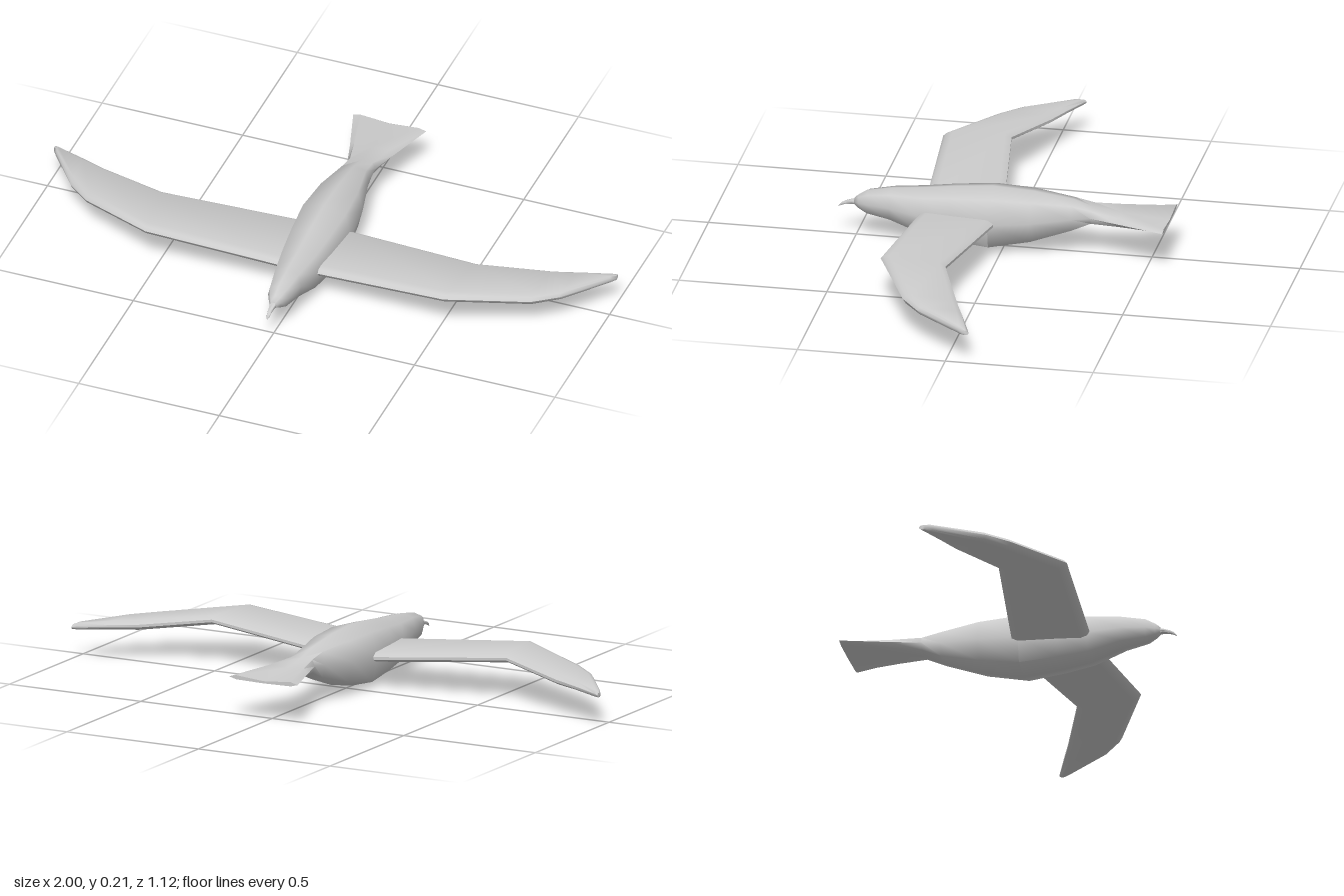
import * as THREE from 'three';
import { toCreasedNormals } from 'three/addons/utils/BufferGeometryUtils.js';

const material = new THREE.MeshStandardMaterial({ color: 0xcccccc });

// Skin a list of equal-length rings (counter-clockwise seen from the first ring) and cap both ends.
function loft(name, rings, crease) {
  const n = rings[0].length, pos = rings.flat(2), index = [];
  for (let i = 0; i < rings.length - 1; i++) {
    for (let j = 0; j < n; j++) {
      const a = i * n + j, b = i * n + (j + 1) % n;
      index.push(a, a + n, b, b, a + n, b + n);
    }
  }
  [0, rings.length - 1].forEach((r) => {
    const centre = pos.length / 3;
    for (let k = 0; k < 3; k++) pos.push(rings[r].reduce((s, p) => s + p[k], 0) / n);
    for (let j = 0; j < n; j++) {
      const a = r * n + j, b = r * n + (j + 1) % n;
      index.push(centre, ...(r === 0 ? [a, b] : [b, a]));
    }
  });
  const geometry = new THREE.BufferGeometry();
  geometry.setAttribute('position', new THREE.Float32BufferAttribute(pos, 3));
  geometry.setIndex(index);
  const mesh = new THREE.Mesh(toCreasedNormals(geometry, crease), material);
  mesh.name = name;
  return mesh;
}

// Boxy eight-sided cross-section across z; dip lowers the top centre.
function bodyRing([z, bottom, top, halfWidth, dip = 0]) {
  const outline = [[1, 0], [0.8, 0.8], [0, 1], [-0.8, 0.8], [-1, 0], [-0.8, -0.8], [0, -1], [0.8, -0.8]];
  const mid = (bottom + top) / 2, half = (top - bottom) / 2;
  return outline.map(([u, v]) => [u * halfWidth, mid + v * half - (v === 1 ? dip : 0), z]);
}

// Flat wing cross-section with rounded leading and trailing edges.
function wingRing([xLead, zLead, xTrail, zTrail, y, thickness], side) {
  const chord = zLead - zTrail, half = thickness / 2;
  const front = Math.min(0.03, chord * 0.3) / chord, back = Math.min(0.02, chord * 0.25) / chord;
  const outline = [
    [0, 0.15], [front * 0.35, 0.75], [front, 1], [1 - back, 0.9], [1, 0.2],
    [1, -0.3], [1 - back, -0.9], [front, -1], [front * 0.3, -0.6],
  ];
  const ring = outline.map(([t, v]) => [
    side * (xLead + (xTrail - xLead) * t), y + v * half, zLead - chord * t,
  ]);
  return side > 0 ? ring : ring.reverse();
}

export function createModel() {
  const model = new THREE.Group();
  model.name = 'bird';

  // Head, body and fanned tail: z, bottom, top, half width, dip
  const bodySections = [
    [0.505, 0.112, 0.135, 0.012],
    [0.49, 0.1, 0.148, 0.022],
    [0.46, 0.085, 0.165, 0.036],
    [0.38, 0.071, 0.18, 0.052],
    [0.27, 0.032, 0.19, 0.072],
    [0.17, 0.016, 0.203, 0.084],
    [0.04, 0.003, 0.215, 0.095],
    [-0.1, 0.034, 0.208, 0.083],
    [-0.235, 0.082, 0.19, 0.052],
    [-0.3, 0.117, 0.172, 0.05, 0.003],
    [-0.4, 0.125, 0.163, 0.079, 0.008],
    [-0.56, 0.135, 0.153, 0.13, 0.012],
  ];
  model.add(loft('bodyAndTail', bodySections.map(bodyRing), 1.1));

  // Down-curved beak
  const beakSections = [
    [0.49, 0.11, 0.134, 0.012],
    [0.515, 0.112, 0.128, 0.01],
    [0.535, 0.11, 0.121, 0.008],
    [0.55, 0.104, 0.113, 0.006],
    [0.56, 0.099, 0.102, 0.002],
  ].reverse();
  model.add(loft('beak', beakSections.map(bodyRing), 1.1));

  // Wings: leading x, z; trailing x, z; height; thickness
  const wingSections = [
    [0.01, 0.277, 0.01, 0.01, 0.106, 0.036],
    [0.08, 0.28, 0.1, 0.02, 0.112, 0.036],
    [0.53, 0.312, 0.56, 0.087, 0.149, 0.035],
    [0.79, 0.185, 0.8, -0.002, 0.121, 0.037],
    [0.87, 0.12, 0.88, -0.033, 0.118, 0.033],
    [0.985, -0.035, 0.985, -0.073, 0.112, 0.025],
    [1, -0.058, 1, -0.079, 0.11, 0.016],
  ];
  for (const side of [1, -1]) {
    const rings = wingSections.map((s) => wingRing(s, side));
    model.add(loft(side > 0 ? 'leftWing' : 'rightWing', rings, 0.9));
  }
  return model;
}
